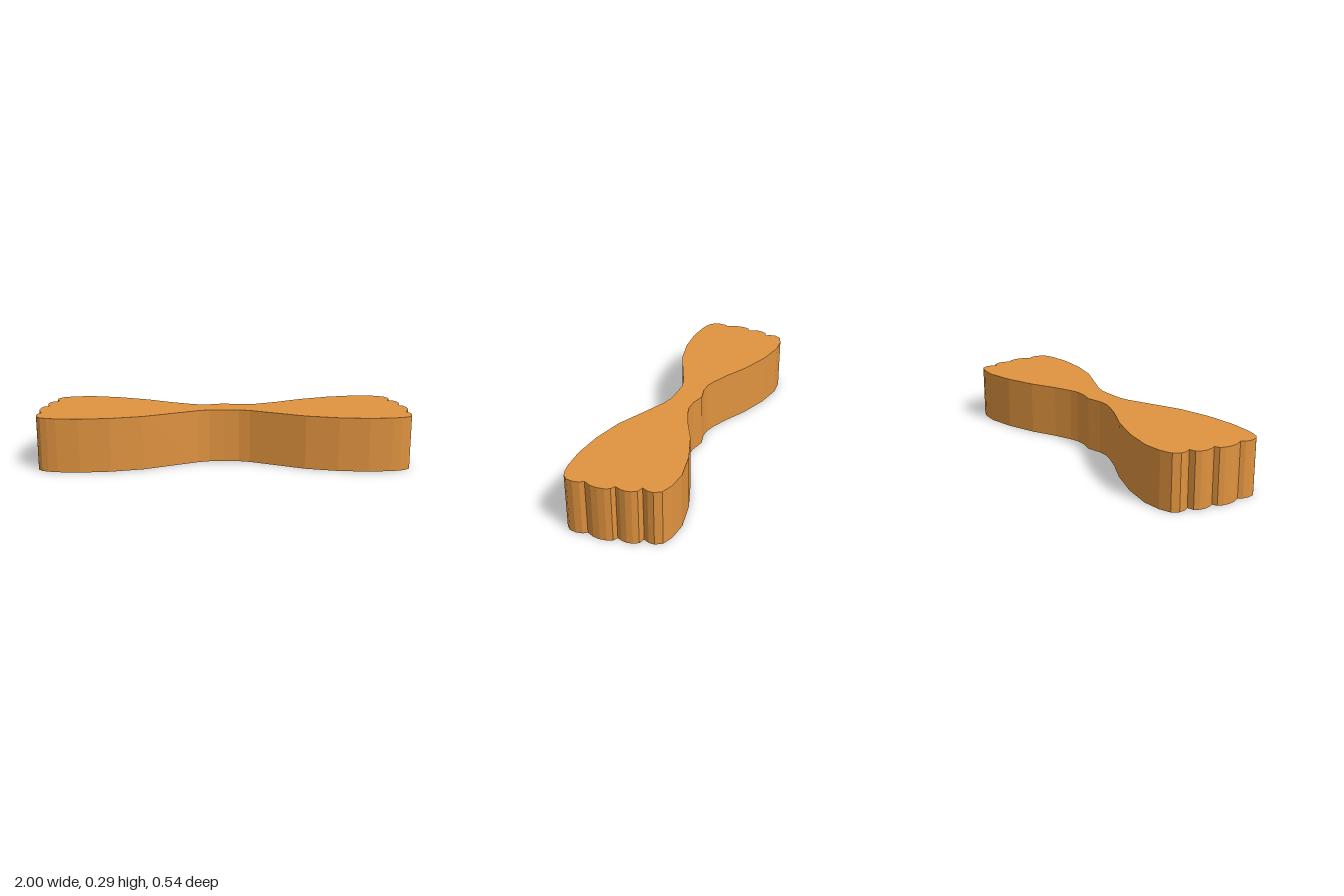
import * as THREE from 'three';

const HEIGHT = 0.29;

// Half outline as [x, z], from the back centre around the scalloped end to the front centre
const half = [
  [0, -0.075], [0.08, -0.056], [0.14, -0.056], [0.19, -0.07], [0.29, -0.11], [0.43, -0.18],
  [0.6, -0.24], [0.76, -0.27], [0.86, -0.262], [0.92, -0.24], [0.942, -0.205], [0.94, -0.175], [0.925, -0.145],
  // second lobe
  [0.958, -0.135], [0.973, -0.11], [0.978, -0.08], [0.972, -0.05], [0.96, -0.025],
  // third lobe
  [0.985, -0.013], [0.997, 0.015], [1, 0.05], [0.995, 0.085], [0.975, 0.125],
  // fourth lobe and front edge
  [0.99, 0.145], [0.995, 0.18], [0.987, 0.215], [0.965, 0.238], [0.93, 0.252], [0.88, 0.262],
  [0.76, 0.27], [0.6, 0.256], [0.43, 0.216], [0.14, 0.09], [0.08, 0.075], [0, 0.073],
];

export function createModel() {
  const group = new THREE.Group();
  group.name = 'bowTie';

  // Mirror the half outline across x = 0
  const mirrored = half.slice(1, -1).reverse().map(([x, z]) => [-x, z]);
  const outline = [...half, ...mirrored].map(([x, z]) => new THREE.Vector2(x, -z));

  // Extrude upwards from the ground
  const geometry = new THREE.ExtrudeGeometry(new THREE.Shape(outline), { depth: HEIGHT, bevelEnabled: false });
  geometry.rotateX(-Math.PI / 2);

  const body = new THREE.Mesh(geometry, new THREE.MeshStandardMaterial({ color: 0xe0933f }));
  body.name = 'bowBody';
  group.add(body);
  return group;
}
